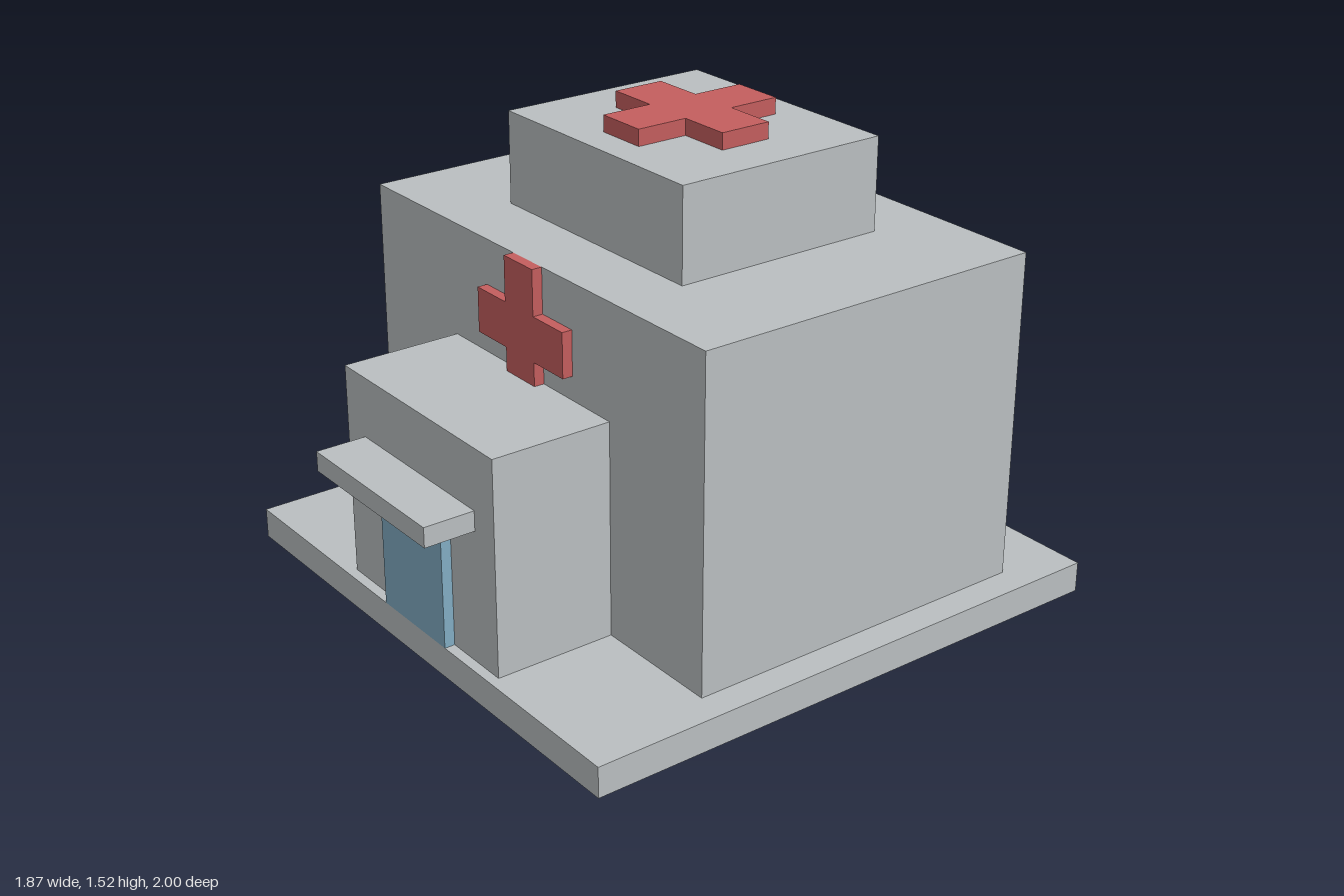
import * as THREE from 'three';

const mat = (name, color) => {
  const m = new THREE.MeshStandardMaterial({ color });
  m.name = name;
  return m;
};

export function createModel() {
  const group = new THREE.Group();
  const concrete = mat('concrete grey', 0xbabfc1);
  const red = mat('cross red', 0xc45e5e);
  const glass = mat('door blue', 0x82adc4);

  // Box centred on x, given its half width and its y and z ranges
  const block = (name, material, hw, y0, y1, z0, z1) => {
    const mesh = new THREE.Mesh(new THREE.BoxGeometry(hw * 2, y1 - y0, z1 - z0), material);
    mesh.position.set(0, (y0 + y1) / 2, (z0 + z1) / 2);
    mesh.name = name;
    group.add(mesh);
  };

  // Equal-armed cross: r = reach of the arms, a = half arm width
  const cross = (name, r, a, depth) => {
    const pts = [];
    for (const [sx, sy] of [[1, 1], [-1, 1], [-1, -1], [1, -1]]) {
      const corner = [[r, a], [a, a], [a, r]].map(([x, y]) => new THREE.Vector2(x * sx, y * sy));
      pts.push(...(sx * sy > 0 ? corner : corner.reverse()));
    }
    const geo = new THREE.ExtrudeGeometry(new THREE.Shape(pts), { depth, bevelEnabled: false });
    const mesh = new THREE.Mesh(geo, red);
    mesh.name = name;
    group.add(mesh);
    return mesh;
  };

  // Building masses
  block('base', concrete, 0.933, 0, 0.1, -1, 0.867);
  block('mainBuilding', concrete, 0.833, 0.1, 1.17, -0.767, 0.433);
  block('upperFloor', concrete, 0.433, 1.17, 1.47, -0.533, 0.2);

  // Entrance
  block('porch', concrete, 0.4, 0.1, 0.8, 0.433, 0.833);
  block('canopy', concrete, 0.3, 0.535, 0.6, 0.833, 1);
  block('door', glass, 0.167, 0.1, 0.518, 0.833, 0.867);

  // Crosses on the facade and the roof
  cross('frontCross', 0.22, 0.073, 0.034).position.set(0, 0.95, 0.433);
  const roofCross = cross('roofCross', 0.26, 0.087, 0.053);
  roofCross.rotation.x = -Math.PI / 2;
  roofCross.position.set(0, 1.47, -0.167);

  return group;
}
